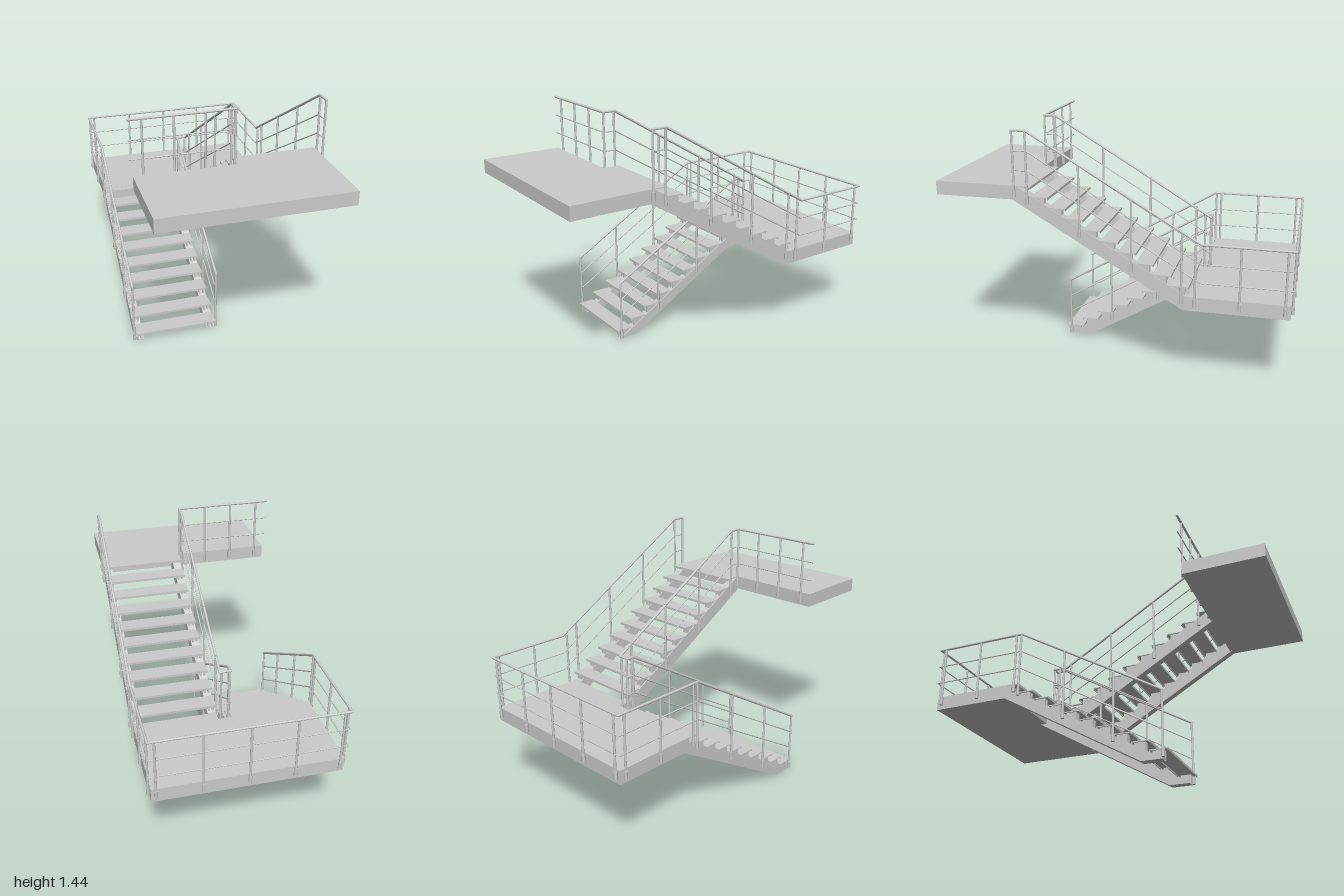
import * as THREE from 'three';

const material = new THREE.MeshStandardMaterial({ color: 0xcccccc });
const TREADS = 10, GOING = 0.0976, RISE = 0.0558, LANDING = 0.56, TOP = 1.118;
const V = (x, y, z) => new THREE.Vector3(x, y, z);

function add(parent, geometry, name) {
  const mesh = new THREE.Mesh(geometry, material);
  mesh.name = name;
  parent.add(mesh);
  return mesh;
}

function box(parent, name, x0, x1, y0, y1, z0, z1) {
  const g = new THREE.BoxGeometry(x1 - x0, y1 - y0, Math.abs(z1 - z0));
  g.translate((x0 + x1) / 2, (y0 + y1) / 2, (z0 + z1) / 2);
  return add(parent, g, name);
}

// Plate with a [z, y] outline, running from x0 to x1
function plate(parent, name, outline, x0, x1) {
  const shape = new THREE.Shape(outline.map(([z, y]) => new THREE.Vector2(z, y)));
  const g = new THREE.ExtrudeGeometry(shape, { depth: x1 - x0, bevelEnabled: false });
  g.rotateY(-Math.PI / 2);
  g.translate(x1, 0, 0);
  return add(parent, g, name);
}

// Round bar between two points
function bar(parent, name, a, b, radius) {
  const d = b.clone().sub(a);
  const g = new THREE.CylinderGeometry(radius, radius, d.length(), 10);
  const mesh = add(parent, g, name);
  mesh.position.copy(a).add(b).multiplyScalar(0.5);
  mesh.quaternion.setFromUnitVectors(V(0, 1, 0), d.normalize());
  return mesh;
}

// One flight: first nosing at z0, climbing in direction dir from height y0
function flight(name, x0, x1, z0, dir, y0, stringer) {
  const group = new THREE.Group();
  group.name = name;
  const at = ([s, y]) => [z0 + dir * s, y0 + y];
  const W = 0.047;
  for (const x of [x0, x1 - W]) {
    plate(group, 'stringer', stringer.map(at), x, x + W);
    // paired brackets carrying each tread
    for (let k = 0; k < TREADS - 1; k++) {
      const s = k * GOING, y = (k + 1) * RISE - 0.005, foot = k * RISE - 0.005;
      const outline = [[s + 0.024, foot], [s + 0.085, foot + 0.035], [s + 0.085, y], [s + 0.024, y]].map(at);
      for (const o of [0.007, 0.029]) plate(group, 'treadBracket', outline, x + o, x + o + 0.011);
    }
  }
  // folded treads with a lip at nose and back
  for (let k = 0; k < TREADS; k++) {
    const y = y0 + (k + 1) * RISE, z = z0 + dir * k * GOING, e = z + dir * 0.1;
    box(group, 'tread', x0, x1, y - 0.006, y, z, e);
    box(group, 'treadNosing', x0, x1, y - 0.014, y, z, z + dir * 0.004);
    box(group, 'treadBackLip', x0, x1, y - 0.014, y, e, e - dir * 0.004);
  }
  return group;
}

// Top rail and two thin rails following a path of top-rail points
function rails(parent, path) {
  [[0, 0.007], [-0.11, 0.0035], [-0.217, 0.0035]].forEach(([drop, r], i) => {
    const name = i ? 'midRail' : 'handrail';
    const pts = path.map(p => V(p.x, p.y + drop, p.z));
    pts.forEach((p, j) => {
      if (j) bar(parent, name, pts[j - 1], p, r);
      add(parent, new THREE.SphereGeometry(r, 10, 6), name + 'Joint').position.copy(p);
    });
  });
}

// Post hanging below the handrail, with a thicker fixing at its foot
function post(parent, x, y, z, length) {
  bar(parent, 'post', V(x, y, z), V(x, y - length, z), 0.0065);
  bar(parent, 'postFixing', V(x, y - length + 0.045, z), V(x, y - length, z), 0.0095);
}

export function createModel() {
  const model = new THREE.Group();
  model.name = 'switchbackStair';

  // Half landing and upper platform
  box(model, 'halfLanding', -0.516, 0.516, 0.48, LANDING, -0.98, -0.49);
  box(model, 'halfLandingExtension', 0.038, 0.516, 0.48, LANDING, -0.495, -0.43);
  box(model, 'upperPlatform', -0.516, 0.516, 1.04, TOP, 0.535, 1);

  // Flights
  model.add(flight('lowerFlight', -0.517, -0.038, 0.434, -1, 0,
    [[0.024, 0], [0.144, 0], [0.964, 0.48], [0.98, 0.558]]));
  model.add(flight('upperFlight', 0.038, 0.517, -0.435, 1, LANDING,
    [[-0.055, -0.08], [0.03, -0.08], [0.985, 0.48], [0.985, 0.557], [0.965, 0.557], [0.015, 0], [-0.055, 0]]));

  // Railings
  const R = 0.525, I = 0.031, RL = 0.865, RT = 1.424, SLOPE = 0.585, BACK = -0.988;
  const railing = new THREE.Group();
  railing.name = 'railing';
  model.add(railing);
  const lowY = z => Math.min(RL, 0.37 + (0.41 - z) * SLOPE);
  const upY = z => Math.min(RT, Math.max(RL, RT - (0.455 - z) * SLOPE));

  // outer run: lower flight, round the landing, upper flight
  rails(railing, [V(-R, lowY(0.41), 0.41), V(-R, RL, -0.436), V(-R, RL, BACK), V(R, RL, BACK),
    V(R, RL, -0.5), V(R, RT, 0.455), V(R, RT, 0.535)]);
  // inner run: lower flight, across the well, upper flight, platform edge
  rails(railing, [V(-I, lowY(0.41), 0.41), V(-I, RL, -0.436), V(-I, RL, -0.48), V(I, RL, -0.48),
    V(I, RT, 0.455), V(I, RT, 0.525), V(-0.53, RT, 0.525)]);

  for (const x of [-R, -I]) {
    post(railing, x, lowY(0.41), 0.41, 0.365);
    for (const z of [0.14, -0.155]) post(railing, x, lowY(z), z, 0.405);
    post(railing, x, RL, -0.44, 0.385);
  }
  for (const x of [R, I]) {
    for (const z of [0.46, 0.168, -0.12, -0.395]) post(railing, x, upY(z), z, 0.405);
  }
  post(railing, R, RT, 0.535, 0.365);
  for (const x of [-R, R]) for (const z of [-0.47, -0.71, -0.95]) post(railing, x, RL, z, 0.36);
  for (let i = -2; i <= 2; i++) post(railing, i * 0.2455, RL, BACK, 0.36);
  for (const x of [-I + 0.008, I - 0.008]) post(railing, x, RL, -0.48, 0.385);
  for (const x of [-0.46, -0.295, -0.13, I]) post(railing, x, RT, 0.525, 0.365);
  return model;
}
